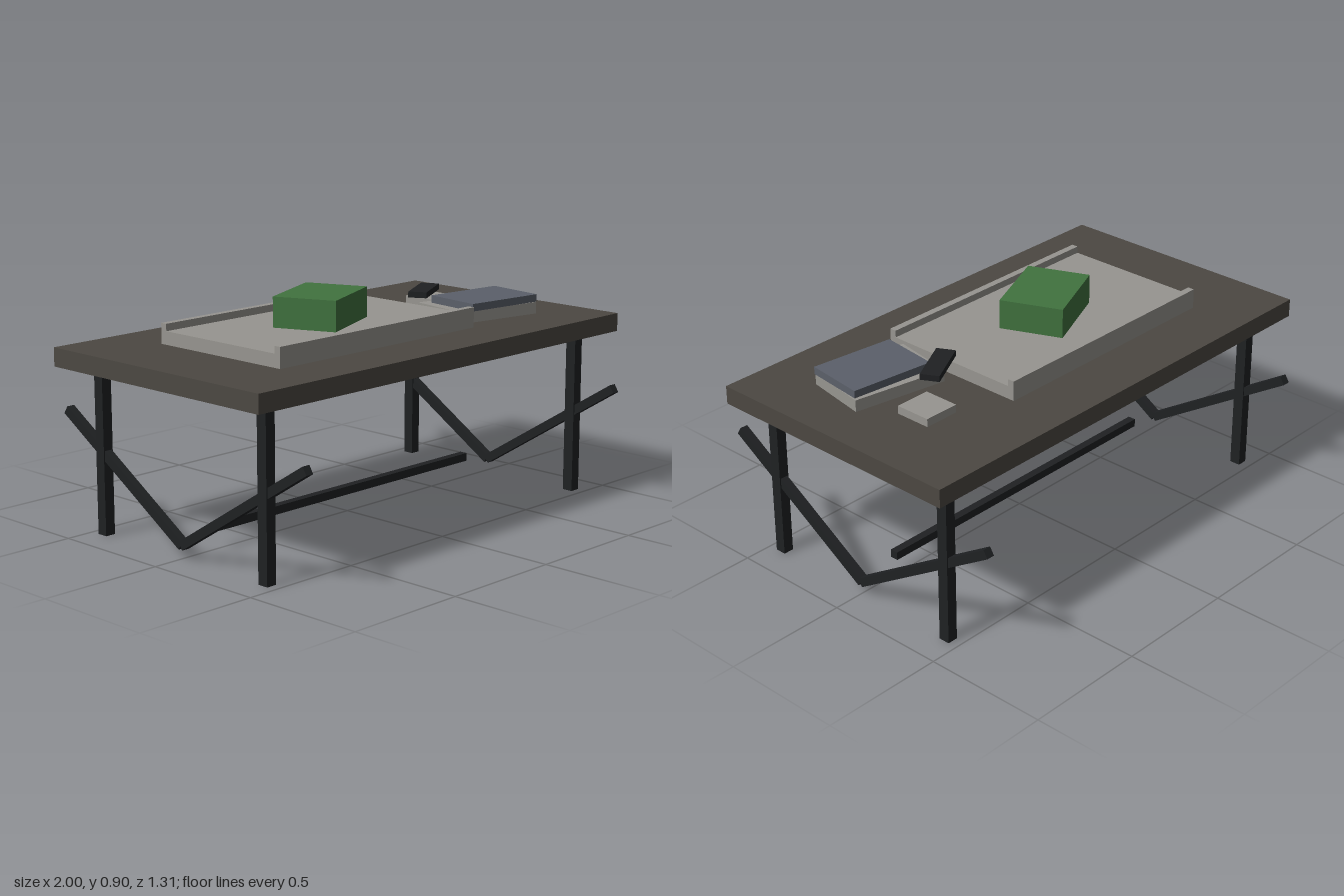
import * as THREE from 'three';

const mat = (color) => new THREE.MeshStandardMaterial({ color, flatShading: true });

export function createModel() {
  const model = new THREE.Group();
  const wood = mat(0x4c4842), metal = mat(0x1f2123), paper = mat(0x979590);
  const green = mat(0x41733f), slate = mat(0x5b606a);

  // Box resting on height y, optionally turned about the vertical
  function box(name, material, [w, h, d], [x, y, z], turn = 0, parent = model) {
    const mesh = new THREE.Mesh(new THREE.BoxGeometry(w, h, d), material);
    mesh.name = name;
    mesh.position.set(x, y + h / 2, z);
    mesh.rotation.y = turn;
    parent.add(mesh);
    return mesh;
  }

  box('tableTop', wood, [2, 0.073, 1.1], [0, 0.657, 0]);

  // End frames: two legs, a top rail and a V of sloping braces
  for (const side of [-1, 1]) {
    const frame = new THREE.Group();
    frame.name = side > 0 ? 'leftFrame' : 'rightFrame';
    frame.position.x = side * 0.862;
    model.add(frame);
    box('topRail', metal, [0.035, 0.035, 0.88], [0, 0.622, 0], 0, frame);
    for (const end of [-1, 1]) {
      box(end > 0 ? 'frontLeg' : 'backLeg', metal, [0.043, 0.657, 0.045], [0, 0, end * 0.44], 0, frame);
      const rise = 0.405, run = 0.645;
      const brace = box('brace', metal, [0.033, 0.035, Math.hypot(rise, run)], [0, 0, 0], 0, frame);
      brace.position.set(0, 0.05 + rise / 2, end * run / 2);
      brace.rotation.x = -end * Math.atan2(rise, run);
    }
  }
  box('stretcher', metal, [1.4, 0.033, 0.033], [0, 0.073, 0]);

  // Tray with a raised lip along both long edges
  box('trayBase', paper, [1.05, 0.052, 0.58], [-0.155, 0.73, 0.008]);
  for (const z of [-0.296, 0.312])
    box('trayLip', paper, [1.05, 0.08, 0.028], [-0.155, 0.73, z]);
  box('greenBox', green, [0.33, 0.12, 0.254], [-0.155, 0.781, 0.008], 0.4);

  // Small items on the left of the table
  box('lowerBook', paper, [0.39, 0.047, 0.268], [0.598, 0.73, 0.15], -0.18);
  box('upperBook', slate, [0.346, 0.03, 0.248], [0.618, 0.777, 0.168], -0.124);
  box('darkCase', metal, [0.213, 0.024, 0.075], [0.473, 0.807, -0.028], 0.49);
  box('smallBlock', paper, [0.147, 0.032, 0.148], [0.646, 0.73, -0.141]);

  return model;
}
